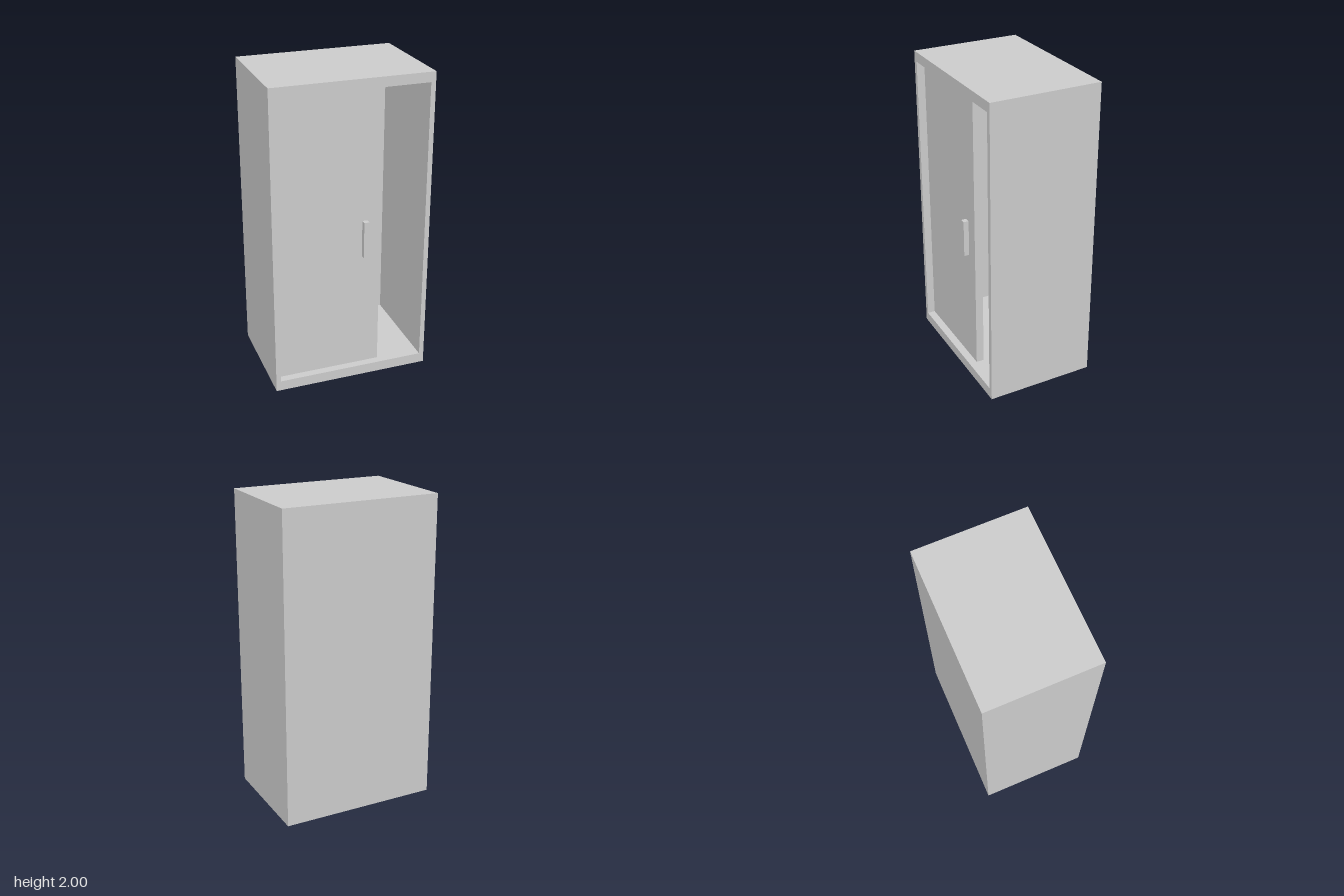
import * as THREE from 'three';

const W = 1.024, H = 2, D = 0.714;          // overall cabinet size
const L = -0.481, R = 0.481, B = 0.067, T = 1.937; // opening edges
const BACK = 0.03;                          // back panel thickness
const DOOR_FRONT = D / 2 - 0.051, DOOR_THICK = 0.051;

export function createModel() {
  const group = new THREE.Group();
  const material = new THREE.MeshStandardMaterial({ color: 0xcccccc, flatShading: true });

  const add = (name, geometry) => {
    const mesh = new THREE.Mesh(geometry, material);
    mesh.name = name;
    group.add(mesh);
    return mesh;
  };

  // box spanning the given limits on each axis
  const box = (name, x0, x1, y0, y1, z0, z1) =>
    add(name, new THREE.BoxGeometry(x1 - x0, y1 - y0, z1 - z0))
      .position.set((x0 + x1) / 2, (y0 + y1) / 2, (z0 + z1) / 2);

  const rect = (Type, x0, x1, y0, y1) => new Type([
    new THREE.Vector2(x0, y0), new THREE.Vector2(x1, y0),
    new THREE.Vector2(x1, y1), new THREE.Vector2(x0, y1),
  ]);

  // carcass: sides, top and base as one hollow frame
  const outline = rect(THREE.Shape, -W / 2, W / 2, 0, H);
  outline.holes.push(rect(THREE.Path, L, R, B, T));
  add('carcass', new THREE.ExtrudeGeometry(outline, { depth: D, bevelEnabled: false }))
    .position.z = -D / 2;

  // back panel closing the frame
  box('backPanel', L, R, B, T, -D / 2, -D / 2 + BACK);

  // sliding door, left partly open, set back in the opening
  box('slidingDoor', L, 0.198, B, T, DOOR_FRONT - DOOR_THICK, DOOR_FRONT);

  // upright bar handle
  box('doorHandle', 0.08, 0.115, 0.843, 1.083, DOOR_FRONT, DOOR_FRONT + 0.034);

  return group;
}
